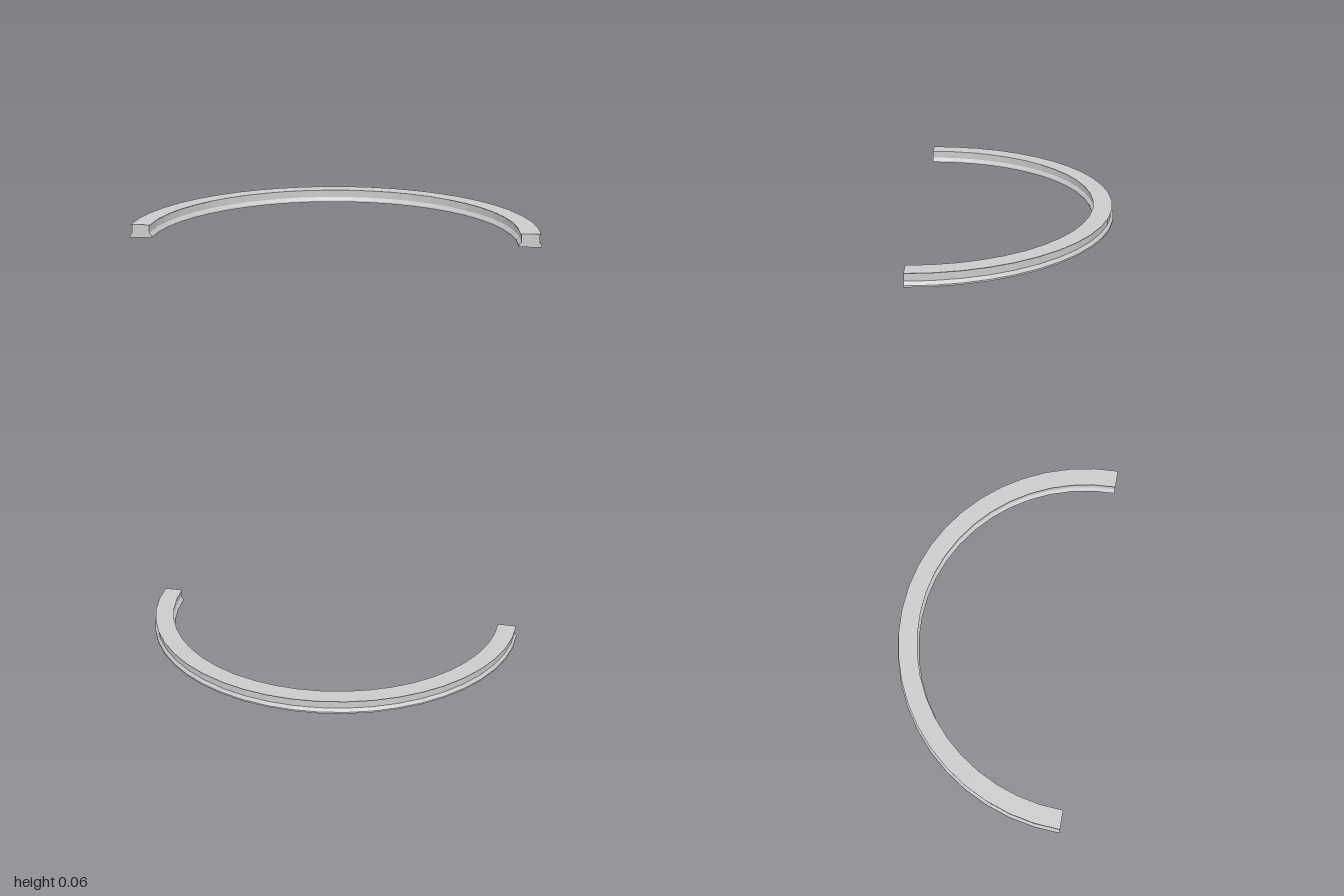
import * as THREE from 'three';

// Rail cross-section as [radius, height], counter-clockwise
const PROFILE = [
  [0.89, 0], [1, 0], [1, 0.008], [0.988, 0.025], [0.988, 0.061], [0.994, 0.062], [0.994, 0.065],
  [0.896, 0.065], [0.896, 0.062], [0.902, 0.061], [0.902, 0.025], [0.89, 0.008],
].map(([r, y]) => new THREE.Vector2(r, y));

const CENTRE_Z = 0.5;
const SEGMENTS = 24;

export function createModel() {
  const group = new THREE.Group();
  group.name = 'archedMoulding';
  const material = new THREE.MeshStandardMaterial({ color: 0xcccccc, flatShading: true });

  // Half-ring swept round the back
  const ring = new THREE.Mesh(
    new THREE.LatheGeometry([...PROFILE, PROFILE[0].clone()], SEGMENTS, Math.PI / 2, Math.PI),
    material,
  );
  ring.name = 'halfRing';
  ring.position.z = CENTRE_Z;
  group.add(ring);

  // Flat end faces closing both ends
  for (const [side, name] of [[1, 'leftEnd'], [-1, 'rightEnd']]) {
    const shape = new THREE.Shape(PROFILE.map((p) => new THREE.Vector2(p.x * side, p.y)));
    const end = new THREE.Mesh(new THREE.ShapeGeometry(shape), material);
    end.name = name;
    end.position.z = CENTRE_Z;
    group.add(end);
  }
  return group;
}
